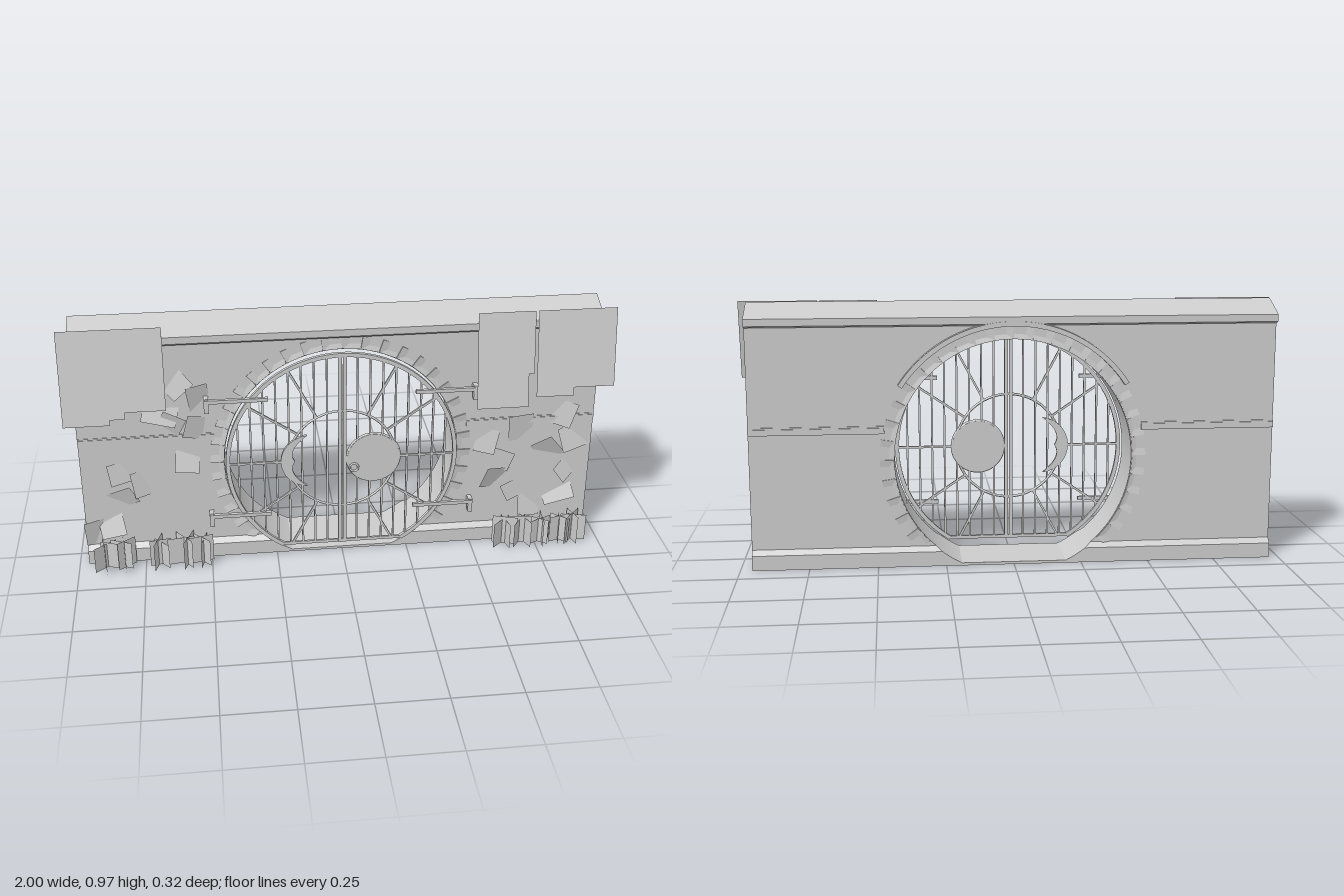
import * as THREE from 'three';
import { toCreasedNormals } from 'three/addons/utils/BufferGeometryUtils.js';

const CY = 0.4, R = 0.435;            // centre height and radius of the round opening
const X0 = -0.965, X1 = 0.957;        // wall ends
const FRONT = 0.055, BACK = -0.138;   // wall faces

export function createModel() {
  const model = new THREE.Group();
  const stone = new THREE.MeshStandardMaterial({ color: 0xcccccc, side: THREE.DoubleSide });
  stone.name = 'paleGrey';

  let seed = 7;
  const rnd = (a = 0, b = 1) => {
    seed = (seed * 16807) % 2147483647;
    return a + (b - a) * seed / 2147483647;
  };
  const group = (name, parent = model) => {
    const g = new THREE.Group();
    g.name = name;
    parent.add(g);
    return g;
  };
  const add = (name, geo, parent = model) => {
    const m = new THREE.Mesh(geo, stone);
    m.name = name;
    parent.add(m);
    return m;
  };
  const box = (name, x0, x1, y0, y1, z0, z1, parent) => {
    const m = add(name, new THREE.BoxGeometry(x1 - x0, y1 - y0, z1 - z0), parent);
    m.position.set((x0 + x1) / 2, (y0 + y1) / 2, (z0 + z1) / 2);
    return m;
  };
  const shapeOf = pts => new THREE.Shape(pts.map(p => new THREE.Vector2(p[0], p[1])));
  const slab = (shape, z0, z1, curveSegments = 24) =>
    new THREE.ExtrudeGeometry(shape, { depth: z1 - z0, bevelEnabled: false, curveSegments }).translate(0, 0, z0);
  // Points of the opening's edge between two angles
  const arc = (a0, a1, n, r = R) => Array.from({ length: n + 1 }, (_, i) => {
    const a = a0 + (a1 - a0) * i / n;
    return [r * Math.cos(a), CY + r * Math.sin(a)];
  });
  const angleAt = y => Math.asin((y - CY) / R);

  // Wall body with the round opening
  const wall = group('wall');
  const a73 = angleAt(0.073), a55 = angleAt(0.055), a10 = angleAt(0.01);
  const body = slab(shapeOf([[X0, 0.073], ...arc(Math.PI - a73, a73, 80), [X1, 0.073], [X1, 0.9], [X0, 0.9]]), BACK, FRONT);
  add('wallBody', toCreasedNormals(body, 0.5), wall);

  // Plinth: a straight lower band with the threshold, and a sloping top band each side
  const lower = shapeOf([[X0, 0], [X1, 0], [X1, 0.055], ...arc(a55, a10, 6), ...arc(Math.PI - a10, Math.PI - a55, 6), [X0, 0.055]]);
  add('plinth', slab(lower, -0.157, 0.075), wall);
  for (const s of [-1, 1]) {
    const end = s < 0 ? X0 : X1, edge = arc(a55, a73, 3).map(([x, y]) => [s * x, y]);
    const g = slab(shapeOf([[end, 0.055], ...edge, [end, 0.073]]), -0.157, 0.075);
    const p = g.attributes.position;
    for (let i = 0; i < p.count; i++) {
      const t = (p.getY(i) - 0.055) / 0.018;
      p.setZ(i, p.getZ(i) > 0 ? 0.075 + (FRONT - 0.075) * t : -0.157 + (BACK + 0.157) * t);
    }
    g.computeVertexNormals();
    add('plinthSlope', g, wall);
  }

  // Gabled coping along the top
  const coping = shapeOf([[-0.068, 0.885], [-0.075, 0.892], [-0.075, 0.918], [0.042, 0.968],
    [0.162, 0.918], [0.162, 0.892], [0.145, 0.885]]);
  add('coping', new THREE.ExtrudeGeometry(coping, { depth: X1 - X0, bevelEnabled: false })
    .rotateY(Math.PI / 2).translate(X0, 0, 0), wall);

  // Mid-height string course, stopping at the arch stones
  for (const [a, b] of [[X0, -0.47], [0.47, X1]]) {
    box('stringCourse', a, b, 0.497, 0.519, BACK - 0.008, FRONT + 0.004, wall);
    box('stringCourseLip', a, b, 0.519, 0.525, BACK - 0.004, FRONT + 0.002, wall);
  }

  // Arch stones, each with one outer corner sunk into the wall
  const stones = group('archStones');
  const step = Math.PI / 20;
  for (let i = 0; i <= 29; i++) {
    const r0 = 0.437, r1 = 0.487, h = Math.tan(step / 2) * 0.97;
    const g = slab(shapeOf([[-r0 * h, r0], [r0 * h, r0], [r1 * h, r1], [-r1 * h, r1]]), BACK - 0.004, FRONT + 0.005);
    const p = g.attributes.position;
    for (let k = 0; k < p.count; k++) {
      if (p.getX(k) > 0 && p.getY(k) > 0.46) p.setZ(k, p.getZ(k) > 0 ? FRONT - 0.008 : BACK + 0.008);
    }
    g.computeVertexNormals();
    const m = add('archStone', g, stones);
    m.position.y = CY;
    m.rotation.z = (i - 14.5) * step;
  }

  // Hood moulding over the arch at the back
  const hood = shapeOf([...arc(0.58, Math.PI - 0.58, 40, 0.502), ...arc(Math.PI - 0.58, 0.58, 40, 0.484)]);
  add('hoodMoulding', toCreasedNormals(slab(hood, -0.165, BACK), 0.5));

  // Gate: frame, rings, bars and spokes
  const gate = group('gate');
  gate.position.z = 0.08;
  const bar = (name, x0, y0, x1, y1, w, d = 0.008) => {
    const m = add(name, new THREE.BoxGeometry(w, Math.hypot(x1 - x0, y1 - y0), d), gate);
    m.position.set((x0 + x1) / 2, (y0 + y1) / 2, 0);
    m.rotation.z = Math.atan2(x0 - x1, y1 - y0);
  };
  const GR = 0.425, low = Math.asin(0.36 / GR);
  const frame = shapeOf([...arc(-low, Math.PI + low, 80, GR + 0.007), ...arc(Math.PI + low, -low, 80, GR - 0.008)]);
  add('gateFrame', toCreasedNormals(slab(frame, -0.007, 0.007), 0.5), gate);
  const ring = add('gateInnerRing', new THREE.TorusGeometry(0.2, 0.005, 6, 64), gate);
  ring.position.y = CY;
  bar('gateBottomRail', -0.23, 0.042, 0.23, 0.042, 0.012);
  for (const s of [-1, 1]) {
    bar('gateStile', s * 0.009, 0.036, s * 0.009, CY + GR, 0.013, 0.014);
    for (let k = 1; k <= 8; k++) {
      const x = 0.009 + k * 0.047, h = Math.sqrt(GR * GR - x * x);
      bar('gateBar', s * x, Math.max(0.04, CY - h), s * x, CY + h, 0.007);
    }
    for (const deg of [-62, -34, 0, 34, 62]) {
      const a = deg * Math.PI / 180, c = s * Math.cos(a), n = Math.sin(a);
      const end = deg === -62 ? 0.405 : GR;
      bar('gateSpoke', c * 0.2, CY + n * 0.2, c * end, CY + n * end, 0.008);
    }
    // Strap hinges fixed to the wall
    for (const y of [0.665, 0.185]) {
      const h = group('hinge', gate);
      const x = (a, b) => s > 0 ? [a, b] : [-b, -a];
      box('hingeStrap', ...x(0.27, 0.5), y - 0.007, y + 0.007, 0, 0.013, h);
      box('hingePlate', ...x(0.485, 0.502), y - 0.045, y + 0.012, -0.012, 0.01, h);
      box('hingeArm', ...x(0.485, 0.502), y - 0.01, y + 0.01, -0.026, 0.008, h);
    }
  }

  // Sun disc with a ring handle, and the crescent moon
  const disc = add('sunDisc', new THREE.CylinderGeometry(0.098, 0.098, 0.014, 48).rotateX(Math.PI / 2), gate);
  disc.position.set(0.117, CY, 0);
  const rim = add('sunRim', new THREE.TorusGeometry(0.098, 0.006, 6, 48), gate);
  rim.position.copy(disc.position);
  const handle = add('ringHandle', new THREE.TorusGeometry(0.016, 0.004, 6, 20), gate);
  handle.position.set(0.043, 0.366, 0.012);
  const moon = new THREE.Shape();
  moon.absarc(-0.122, CY, 0.107, 1.66, 2 * Math.PI - 1.66, false);
  moon.quadraticCurveTo(-0.21, CY - 0.045, -0.176, CY);
  moon.quadraticCurveTo(-0.21, CY + 0.045, -0.131, CY + 0.1066);
  add('crescentMoon', toCreasedNormals(slab(moon, -0.006, 0.006, 32), 0.5), gate);

  // Hanging foliage sheets, leaning out towards the bottom
  const sheets = [
    [[-1, 0.96], [-1, 0.615], [-0.835, 0.615], [-0.835, 0.635], [-0.78, 0.635], [-0.78, 0.66], [-0.635, 0.66], [-0.635, 0.96]],
    [[0.49, 0.96], [0.49, 0.605], [0.68, 0.605], [0.68, 0.73], [0.7, 0.73], [0.7, 0.96]],
    [[0.71, 0.96], [0.71, 0.64], [0.85, 0.64], [0.85, 0.67], [1, 0.67], [1, 0.96]],
  ];
  for (const pts of sheets) {
    const g = new THREE.ShapeGeometry(shapeOf(pts)), p = g.attributes.position;
    for (let i = 0; i < p.count; i++) p.setZ(i, 0.08 + (0.96 - p.getY(i)) * 0.16);
    g.computeVertexNormals();
    add('foliageSheet', g);
  }

  // Ivy cards lying against the wall
  const ivy = group('ivy');
  const ivySpots = [
    [-0.6, 0.73], [-0.52, 0.67], [-0.63, 0.56], [-0.57, 0.43], [-0.66, 0.62], [-0.52, 0.55], [-0.82, 0.27],
    [-0.74, 0.33], [-0.87, 0.17], [-0.81, 0.38], [-0.93, 0.13], [0.55, 0.43], [0.6, 0.35], [0.68, 0.48],
    [0.79, 0.38], [0.84, 0.53], [0.89, 0.43], [0.87, 0.3], [0.68, 0.22], [0.6, 0.27], [0.84, 0.19], [0.73, 0.14],
  ];
  for (const [x, y] of ivySpots) {
    const m = add('ivyCard', new THREE.PlaneGeometry(rnd(0.09, 0.13), rnd(0.07, 0.1)), ivy);
    m.position.set(x, y, 0.06);
    m.rotation.set(rnd(-0.4, 0.4), rnd(-0.4, 0.4), rnd(0, Math.PI));
  }

  // Grass tufts of crossed upright cards at the foot of the wall
  const grass = group('grass');
  for (const x of [-0.89, -0.83, -0.7, -0.6, -0.54, 0.62, 0.7, 0.77, 0.84, 0.89]) {
    const turn = rnd(0, 1);
    for (let k = 0; k < 3; k++) {
      const h = rnd(0.098, 0.118);
      const m = add('grassCard', new THREE.PlaneGeometry(rnd(0.08, 0.105), h), grass);
      m.position.set(x + rnd(-0.015, 0.015), h / 2, 0.108);
      m.rotation.y = turn + k * Math.PI / 3;
    }
  }
  return model;
}
